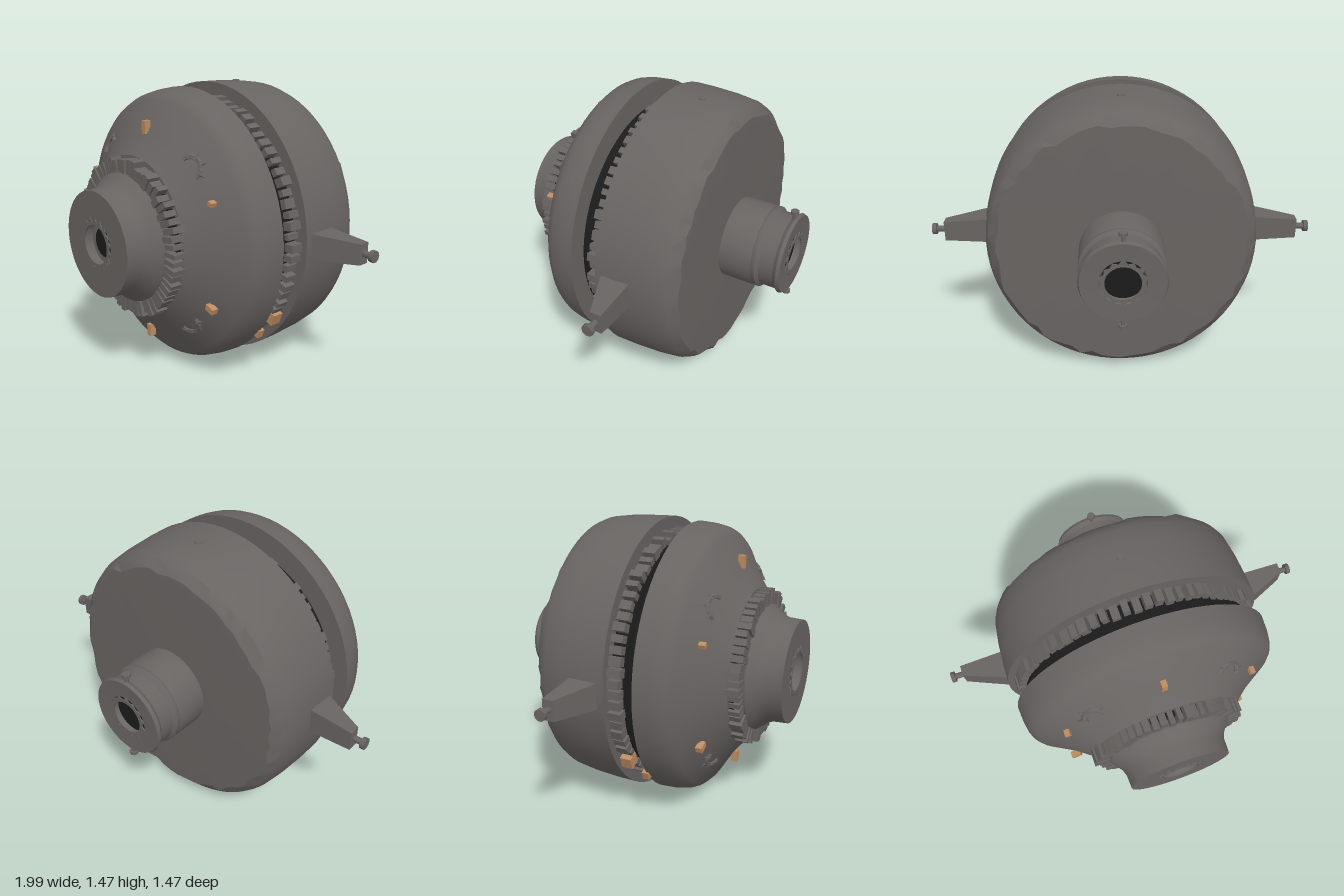
import * as THREE from 'three';
import { mergeGeometries, toCreasedNormals } from 'three/addons/utils/BufferGeometryUtils.js';

const CY = 0.742; // height of the main axis, which runs along z

export function createModel() {
  const mat = (name, color) => {
    const m = new THREE.MeshStandardMaterial({ color });
    m.name = name;
    return m;
  };
  const steel = mat('grey steel', 0x686462);
  const dark = mat('dark recess', 0x1b1b1b);
  const copper = mat('copper', 0xbd8c62);

  const model = new THREE.Group();
  const body = new THREE.Group();
  body.name = 'body';
  body.position.y = CY;
  model.add(body);

  const hash = (n) => { const s = Math.sin(n * 127.1 + 11.7) * 43758.5453; return s - Math.floor(s); };
  const add = (name, geo, material, parent = body) => {
    const m = new THREE.Mesh(geo, material);
    m.name = name;
    parent.add(m);
    return m;
  };
  // Revolve [radius, z] pairs about the z axis, listed from back to front
  const turned = (name, pts, material, sx = 1, seg = 72, rough = null) => {
    const g = new THREE.LatheGeometry(pts.map(([r, z]) => new THREE.Vector2(r, z)), seg);
    g.rotateX(Math.PI / 2);
    if (rough) {
      const p = g.attributes.position, n = pts.length;
      for (let i = 0; i < p.count; i++) {
        if (i % n !== rough.ring) continue;
        const k = 1 + (hash(Math.floor(i / n) % seg) - 0.6) * rough.amount;
        p.setXY(i, p.getX(i) * k, p.getY(i) * k);
      }
    }
    g.scale(sx, 1, 1);
    return add(name, toCreasedNormals(g, 0.5), material);
  };
  // Ring of uneven teeth around the axis
  const toothRing = (name, count, rIn, rOut, z0, z1, fill, seed) => {
    const parts = [];
    for (let i = 0; i < count; i++) {
      const r = rOut - hash(i + seed) * (rOut - rIn) * 0.35;
      const w = (2 * Math.PI * rOut / count) * fill * (0.7 + 0.5 * hash(i + seed + 50));
      const d = (z1 - z0) * (0.85 + 0.15 * hash(i + seed + 90));
      const g = new THREE.BoxGeometry(r - rIn, w, d);
      g.translate((r + rIn) / 2, 0, z0 + d / 2);
      g.rotateZ((i / count) * Math.PI * 2);
      parts.push(g);
    }
    return add(name, mergeGeometries(parts), steel);
  };

  // Rear shell with a worn back edge
  turned('rearShell', [[0, -0.41], [0.6, -0.41], [0.655, -0.408], [0.695, -0.37], [0.713, -0.33],
    [0.727, -0.23], [0.735, -0.1], [0.737, 0.003], [0.58, 0.003]], steel, 0.965, 72, { ring: 2, amount: 0.05 });

  // Core seen through the gap, with its ring of fins
  turned('darkCore', [[0, 0], [0.63, 0], [0.63, 0.075], [0.6, 0.085], [0.6, 0.16], [0, 0.16]], dark);
  toothRing('gapFins', 76, 0.6, 0.685, 0.004, 0.075, 0.72, 3);

  // Front shell: rounded drum running into a cone
  turned('frontShell', [[0.58, 0.15], [0.722, 0.15], [0.717, 0.22], [0.705, 0.28], [0.69, 0.31],
    [0.665, 0.335], [0.52, 0.42], [0.41, 0.505], [0, 0.505]], steel, 0.97);

  // Toothed collar and front hub
  turned('collarRecess', [[0.375, 0.495], [0.375, 0.53], [0.3, 0.53]], dark);
  toothRing('collarTeeth', 60, 0.325, 0.415, 0.495, 0.573, 0.75, 17);
  turned('frontHub', [[0.33, 0.5], [0.33, 0.57], [0.305, 0.6], [0.285, 0.625], [0.272, 0.66],
    [0.268, 0.735], [0.125, 0.735], [0.105, 0.69], [0.07, 0.69]], steel);
  turned('frontBore', [[0.075, 0.692], [0, 0.692]], dark);

  // Rear pipe with a worn band, flared lip and bore
  turned('rearPipe', [[0.1, -0.69], [0.115, -0.728], [0.205, -0.732], [0.212, -0.715], [0.198, -0.695],
    [0.198, -0.62], [0.215, -0.605], [0.215, -0.59], [0.21, -0.58], [0.215, -0.56], [0.215, -0.4]], steel, 1, 48);
  turned('rearBore', [[0, -0.694], [0.105, -0.694]], dark);

  // Jagged dark rims around both bores
  for (const [name, z, rimR, count] of [['frontBoreRim', 0.737, 0.125, 18], ['rearBoreRim', -0.73, 0.112, 14]]) {
    const s = new THREE.Shape();
    for (let i = 0; i < count * 2; i++) {
      const a = (i / count) * Math.PI;
      const r = rimR + (i % 2 ? 0.012 * hash(i) : -0.01);
      s[i ? 'lineTo' : 'moveTo'](r * Math.cos(a), r * Math.sin(a));
    }
    s.closePath();
    s.holes.push(new THREE.Path().absarc(0, 0, rimR - 0.025, 0, Math.PI * 2, true));
    const g = new THREE.ExtrudeGeometry(s, { depth: 0.006, bevelEnabled: false, curveSegments: 20 });
    g.translate(0, 0, z - 0.003);
    add(name, g, steel);
  }

  // Small studs above and below the rear pipe
  for (const s of [-1, 1]) {
    const stud = new THREE.Group();
    stud.name = 'pipeStud';
    stud.position.set(0, s * 0.225, -0.71);
    add('stem', new THREE.CylinderGeometry(0.01, 0.01, 0.05, 8), steel, stud);
    add('cap', new THREE.CylinderGeometry(0.022, 0.022, 0.016, 8).translate(0, s * 0.022, 0), steel, stud);
    body.add(stud);
  }

  // Tapered side brackets with end knobs
  for (const s of [-1, 1]) {
    const arm = new THREE.Group();
    arm.name = s > 0 ? 'leftBracket' : 'rightBracket';
    const g = new THREE.BoxGeometry(0.27, 1, 1);
    const p = g.attributes.position;
    for (let i = 0; i < p.count; i++) {
      const tip = p.getX(i) * s > 0;
      const up = p.getY(i) > 0, front = p.getZ(i) > 0;
      p.setXYZ(i, s * (tip ? 0.93 : 0.66), up ? (tip ? 0.05 : 0.07) : (tip ? -0.055 : -0.07),
        front ? (tip ? -0.125 : -0.01) : -0.182);
    }
    const flat = g.toNonIndexed();
    flat.computeVertexNormals();
    add('arm', flat, steel, arm);
    add('pin', new THREE.CylinderGeometry(0.016, 0.016, 0.07, 10).rotateZ(Math.PI / 2)
      .translate(s * 0.95, 0, -0.152), steel, arm);
    add('knob', new THREE.CylinderGeometry(0.03, 0.03, 0.022, 10).rotateZ(Math.PI / 2)
      .translate(s * 0.985, 0, -0.152), steel, arm);
    body.add(arm);
  }

  // Copper pegs on the cone and at the gap: x, y, z, width, height
  const pegs = [[0, 1.285, 0.42, 0.028, 0.065], [0, 0.19, 0.42, 0.03, 0.065]];
  for (const s of [-1, 1]) {
    pegs.push([s * 0.49, 0.993, 0.412, 0.028, 0.022], [s * 0.485, 0.47, 0.41, 0.052, 0.03],
      [s * 0.54, 0.285, 0.145, 0.035, 0.045], [s * 0.535, 0.34, 0.04, 0.06, 0.065]);
  }
  for (const [x, y, z, w, h] of pegs) {
    const peg = add('copperPeg', new THREE.BoxGeometry(w, h, z < 0.05 ? 0.06 : 0.035), copper);
    peg.position.set(x, y - CY, z);
    if (x) peg.rotation.z = -0.35 * Math.sign(x);
  }

  // Raised claw-like clasps lying on the cone
  for (const [x, y] of [[-0.335, 1.13], [0.335, 1.13], [-0.32, 0.345], [0.32, 0.345]]) {
    const dy = y - CY, r = Math.hypot(x, dy);
    const clasp = new THREE.Group();
    clasp.name = 'clasp';
    clasp.position.set(x, dy, 0.42);
    clasp.quaternion.setFromUnitVectors(new THREE.Vector3(0, 0, 1),
      new THREE.Vector3(x / r * 0.55, dy / r * 0.55, 0.83).normalize());
    const arc = new THREE.TorusGeometry(0.06, 0.015, 5, 9, Math.PI * 0.95);
    arc.rotateZ(Math.atan2(dy, x) - Math.PI * 0.475);
    const rough = arc.toNonIndexed();
    rough.computeVertexNormals();
    add('claw', rough, steel, clasp);
    for (let i = 0; i < 4; i++) {
      const a = Math.atan2(dy, x) + (i - 1.5) * 0.75;
      add('barb', new THREE.ConeGeometry(0.013, 0.045, 5).rotateZ(a - Math.PI / 2)
        .translate(0.075 * Math.cos(a), 0.075 * Math.sin(a), 0.004), steel, clasp);
    }
    body.add(clasp);
  }

  // Shell bolts on the top and underside
  for (const a of [Math.PI / 2, -Math.PI / 2 - 0.42, -Math.PI / 2 + 0.42]) {
    const bolt = add('shellBolt', new THREE.CylinderGeometry(0.018, 0.022, 0.016, 8), steel);
    bolt.position.set(0.702 * Math.cos(a), 0.728 * Math.sin(a), -0.18);
    bolt.rotation.z = a - Math.PI / 2;
  }

  return model;
}
